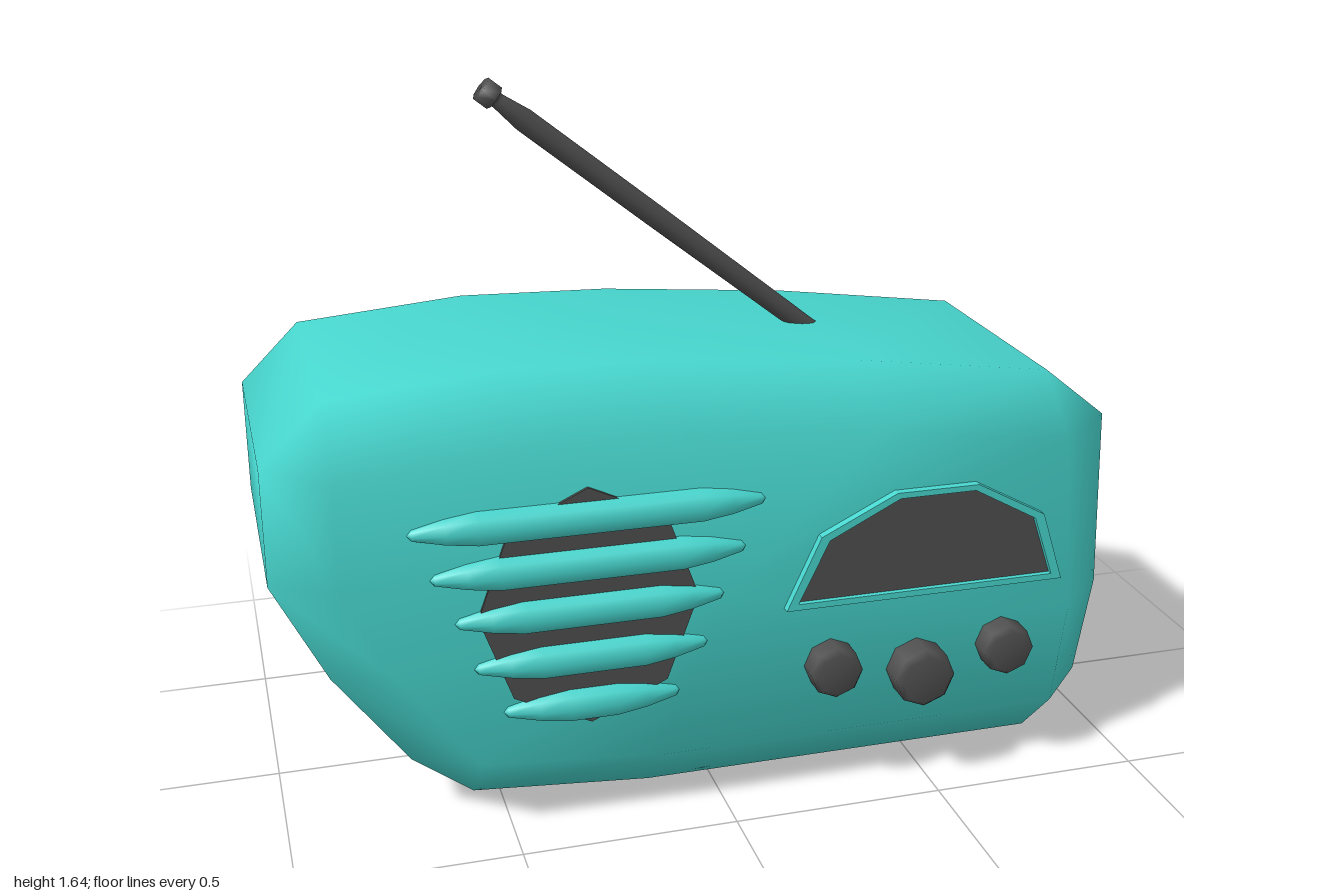
import * as THREE from 'three';
import { mergeVertices } from 'three/addons/utils/BufferGeometryUtils.js';

const teal = new THREE.MeshStandardMaterial({ color: 0x48d8d0 });
const dark = new THREE.MeshStandardMaterial({ color: 0x505050 });

function add(parent, name, geometry, material, x = 0, y = 0, z = 0) {
  const mesh = new THREE.Mesh(geometry, material);
  mesh.name = name;
  mesh.position.set(x, y, z);
  parent.add(mesh);
  return mesh;
}

// Case: outline at full size, and the same outline drawn in for the front and back faces
const outer = [
  [-0.15, 0], [0.83, 0], [0.96, 0.14], [1, 0.38], [0.985, 0.82], [0.83, 0.945], [0.36, 1.01], [-0.1, 1.05],
  [-0.46, 1.06], [-0.86, 1.025], [-1, 0.885], [-1, 0.61], [-0.88, 0.37], [-0.71, 0.14], [-0.57, 0.035],
];
const inner = [
  [-0.15, 0.14], [0.83, 0.14], [0.83, 0.14], [0.86, 0.38], [0.83, 0.82], [0.83, 0.82], [0.36, 0.88], [-0.1, 0.92],
  [-0.46, 0.925], [-0.86, 0.885], [-0.86, 0.885], [-0.86, 0.64], [-0.75, 0.42], [-0.57, 0.18], [-0.57, 0.18],
];

function caseGeometry() {
  const rings = [[inner, -0.475], [outer, -0.34], [outer, 0.26], [inner, 0.395]];
  const n = outer.length;
  const positions = [];
  const index = [];
  for (const [ring, z] of rings) for (const [x, y] of ring) positions.push(x, y, z);
  for (let i = 0; i < rings.length - 1; i++) {
    for (let j = 0; j < n; j++) {
      const a = i * n + j;
      const b = i * n + ((j + 1) % n);
      index.push(a, b, b + n, a, b + n, a + n);
    }
  }
  // Flat front and back faces as fans
  const back = positions.length / 3;
  positions.push(0, 0.52, -0.475, 0, 0.52, 0.395);
  const last = (rings.length - 1) * n;
  for (let j = 0; j < n; j++) {
    const k = (j + 1) % n;
    index.push(back, k, j, back + 1, last + j, last + k);
  }
  const geometry = new THREE.BufferGeometry();
  geometry.setAttribute('position', new THREE.Float32BufferAttribute(positions, 3));
  geometry.setIndex(index);
  const merged = mergeVertices(geometry);
  merged.computeVertexNormals();
  return merged;
}

function lathe(points, sides) {
  return new THREE.LatheGeometry(points.map(([r, y]) => new THREE.Vector2(r, y)), sides);
}

function polygon(points, Type = THREE.Shape) {
  return new Type(points.map(([x, y]) => new THREE.Vector2(x, y)));
}

export function createModel() {
  const radio = new THREE.Group();
  radio.name = 'radio';
  add(radio, 'case', caseGeometry(), teal);

  // Speaker cloth behind five tapered bars
  const speaker = new THREE.Group();
  speaker.name = 'speaker';
  radio.add(speaker);
  const cloth = add(speaker, 'speakerCloth', new THREE.CylinderGeometry(1, 1, 0.02, 8), dark, -0.315, 0.54, 0.392);
  cloth.rotation.x = Math.PI / 2;
  cloth.scale.set(0.25, 1, 0.285);
  const bars = [[0.755, -0.31, 0.4], [0.645, -0.31, 0.355], [0.535, -0.31, 0.305], [0.42, -0.31, 0.267], [0.305, -0.312, 0.203]];
  for (const [y, x, h] of bars) {
    const profile = [[0, -h], [0.013, -h + 0.01], [0.03, -h + 0.08], [0.04, -h + 0.15],
      [0.04, h - 0.15], [0.03, h - 0.08], [0.013, h - 0.01], [0, h]];
    const bar = add(speaker, 'speakerBar', lathe(profile, 8), teal, x, y, 0.397);
    bar.rotation.z = Math.PI / 2;
  }

  // Tuning window with a thin raised frame
  const outline = [[0.14, 0.475], [0.825, 0.475], [0.77, 0.645], [0.6, 0.738], [0.4, 0.738], [0.22, 0.65]];
  const opening = [[0.168, 0.49], [0.798, 0.49], [0.748, 0.637], [0.593, 0.724], [0.408, 0.724], [0.24, 0.64]];
  const frame = polygon(outline);
  frame.holes.push(polygon(opening, THREE.Path));
  add(radio, 'windowFrame', new THREE.ExtrudeGeometry(frame, { depth: 0.035, bevelEnabled: false }), teal, 0, 0, 0.38);
  add(radio, 'windowPane', new THREE.ExtrudeGeometry(polygon(opening), { depth: 0.02, bevelEnabled: false }), dark, 0, 0, 0.382);

  // Three knobs with softened front edges
  for (const [x, y, r, depth] of [[0.255, 0.32, 0.063, 0.065], [0.47, 0.283, 0.073, 0.078], [0.685, 0.32, 0.063, 0.065]]) {
    const profile = [[r, -0.01], [r, depth - 0.015], [r * 0.82, depth], [0, depth]];
    const knob = add(radio, 'knob', lathe(profile, 8), dark, x, y, 0.396);
    knob.rotation.x = Math.PI / 2;
  }

  // Leaning antenna, narrowed below its tip
  const foot = new THREE.Vector3(0.35, 0.99, -0.058);
  const tip = new THREE.Vector3(-0.44, 1.615, -0.058);
  const length = foot.distanceTo(tip);
  const rod = [[0, 0], [0.024, 0], [0.027, length * 0.5], [0.027, length * 0.88], [0.018, length - 0.05],
    [0.018, length - 0.04], [0.029, length - 0.038], [0.029, length], [0, length]];
  const antenna = add(radio, 'antenna', lathe(rod, 8), dark, foot.x, foot.y, foot.z);
  antenna.quaternion.setFromUnitVectors(new THREE.Vector3(0, 1, 0), tip.clone().sub(foot).normalize());
  return radio;
}
